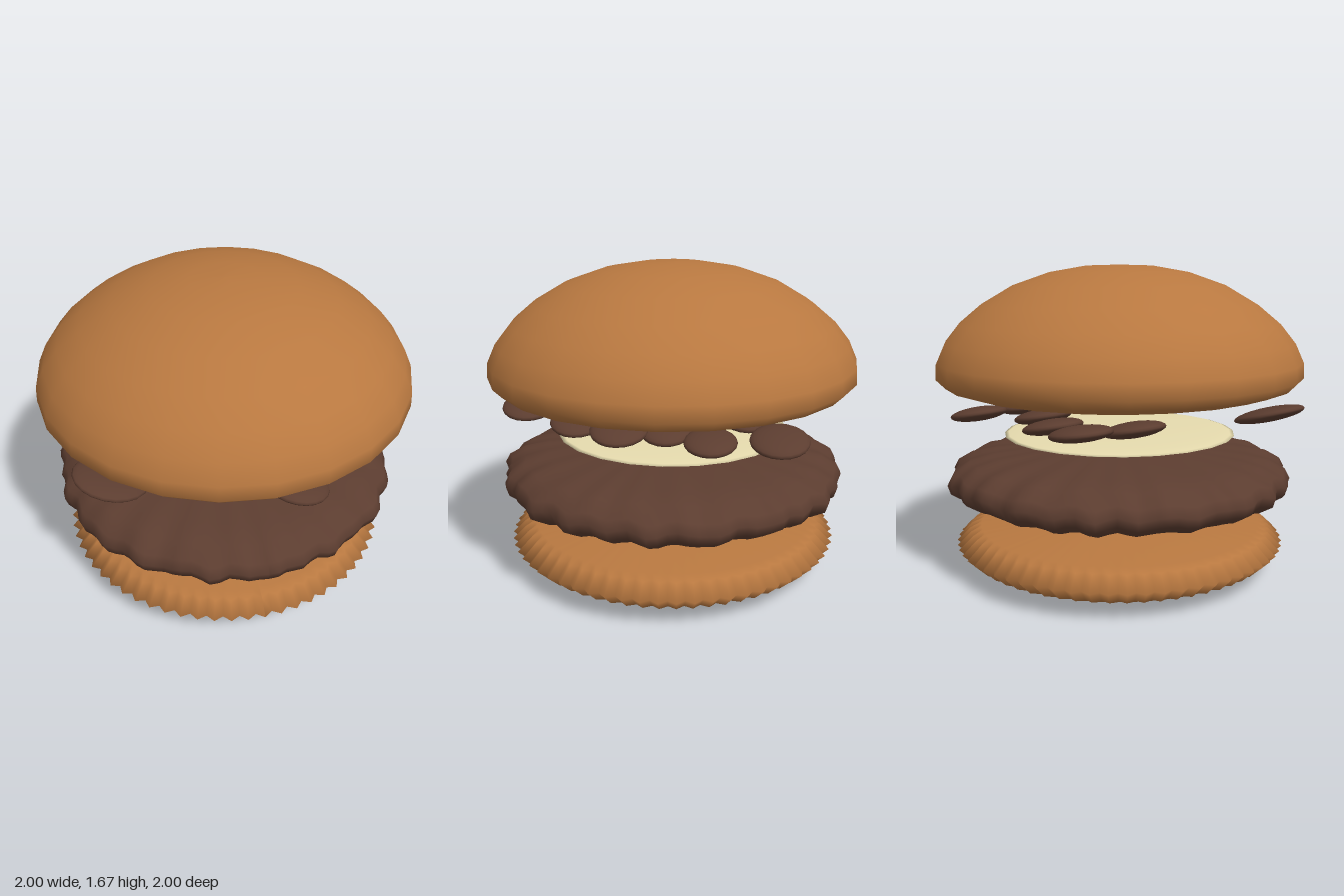
import * as THREE from 'three';

const mat = (name, color, extra) => {
  const m = new THREE.MeshStandardMaterial({ color });
  m.name = name;
  return m;
};

// Lathe from a bottom-to-top profile, with the radius changed by a rule per angle.
function turned(profile, segments, ripple) {
  const pts = profile.map(([r, y]) => new THREE.Vector2(r, y));
  const geo = new THREE.LatheGeometry(pts, segments);
  if (ripple) {
    const p = geo.attributes.position;
    const rows = profile.length;
    for (let i = 0; i < p.count; i++) {
      const column = Math.floor(i / rows) % segments;
      const [r, y] = profile[i % rows];
      const a = (column / segments) * Math.PI * 2;
      const [k, dy] = ripple(a, column, r);
      p.setXYZ(i, Math.sin(a) * r * k, y + dy, Math.cos(a) * r * k);
    }
    geo.computeVertexNormals();
  }
  return geo;
}

export function createModel() {
  const group = new THREE.Group();
  const bread = mat('toasted bread', 0xb87840);
  const meat = mat('dark brown', 0x5c3d30);
  const cream = mat('pale cream', 0xe6dbae);

  const add = (name, geo, material) => {
    const mesh = new THREE.Mesh(geo, material);
    mesh.name = name;
    group.add(mesh);
    return mesh;
  };

  // Domed top bun with a shallow rounded underside
  add('topBun', turned([
    [0, 0.9], [0.3, 0.912], [0.6, 0.95], [0.84, 0.995], [0.95, 1.03], [1, 1.08],
    [0.995, 1.16], [0.95, 1.26], [0.87, 1.36], [0.75, 1.46], [0.58, 1.56],
    [0.38, 1.63], [0.18, 1.665], [0, 1.67],
  ], 24), bread);

  // Bottom bun with a fluted rim
  add('bottomBun', turned([
    [0, 0], [0.4, 0.033], [0.78, 0.066], [0.84, 0.085], [0.915, 0.155],
    [0.84, 0.225], [0.78, 0.245], [0.4, 0.278], [0, 0.31],
  ], 128, (a, column, r) => [column % 2 && r > 0.8 ? 0.965 : 1, 0]), bread);

  // Patty with an uneven, wavy rim
  add('patty', turned([
    [0, 0.34], [0.4, 0.36], [0.7, 0.395], [0.85, 0.425], [0.92, 0.47], [0.935, 0.52],
    [0.91, 0.57], [0.83, 0.62], [0.7, 0.65], [0.4, 0.68], [0, 0.7],
  ], 120, (a, column, r) => {
    const w = Math.max(0, (r - 0.6) / 0.34);
    const wave = 0.012 * Math.sin(a * 31 + Math.sin(a * 3) * 2)
      + 0.009 * Math.sin(a * 17 + 1) + 0.006 * Math.sin(a * 7 + 2);
    return [1 + w * wave, w * 0.012 * Math.sin(a * 23 + Math.sin(a * 5))];
  }), meat);

  // Thin lens-shaped cheese slice
  add('cheeseSlice', new THREE.SphereGeometry(1, 24, 12).scale(0.64, 0.022, 0.64)
    .translate(0, 0.75, 0), cream);

  // Flat oval slices tucked under the top bun: x, y, z, tilt, size
  const slices = [
    [-0.69, 0.87, 0.45, -0.27, 1.2], [-0.12, 0.877, 0.52, -0.24, 0.9],
    [0.18, 0.913, 0.76, -0.22, 1], [0.5, 0.89, 0.23, -0.22, 1],
    [0.28, 0.865, 0.48, -0.25, 1], [0.4, 0.855, 0, -0.2, 0.9],
    [0.53, 0.86, -0.57, -0.2, 1], [0.55, 0.85, -0.23, -0.15, 0.9],
    [0.17, 0.87, -0.42, -0.2, 1], [-0.08, 0.87, -0.58, -0.2, 1],
    [-0.36, 0.885, -0.66, -0.15, 1], [-0.48, 0.885, -0.42, -0.2, 1],
  ];
  const oval = new THREE.SphereGeometry(1, 20, 12).scale(0.165, 0.04, 0.15);
  for (const [x, y, z, tilt, size] of slices) {
    const slice = add('ovalSlice', oval, meat);
    slice.position.set(x, y, z);
    slice.rotation.z = tilt;
    slice.scale.set(size, 1, size);
  }
  return group;
}
